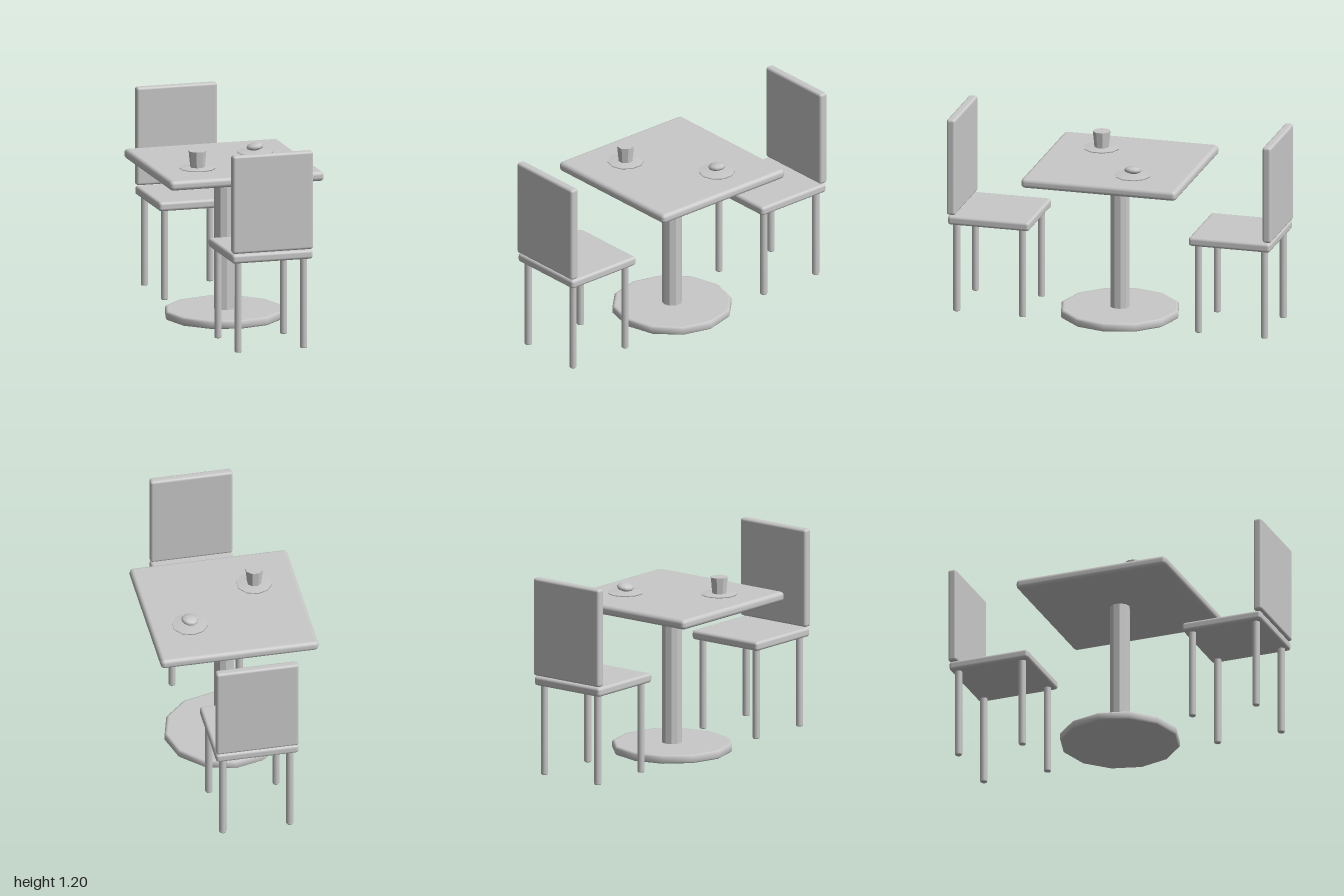
import * as THREE from 'three';
import { RoundedBoxGeometry } from 'three/addons/geometries/RoundedBoxGeometry.js';

const grey = new THREE.MeshStandardMaterial({ color: 0xc8c8c8 });
grey.name = 'plain grey';

function add(parent, name, geometry, x = 0, y = 0, z = 0) {
  const mesh = new THREE.Mesh(geometry, grey);
  mesh.name = name;
  mesh.position.set(x, y, z);
  parent.add(mesh);
  return mesh;
}

// Box with softened edges, placed by its centre
const softBox = (w, h, d, r) => new RoundedBoxGeometry(w, h, d, 2, r);

// Turned shape from [radius, height] pairs, bottom to top
const turned = (profile, sides) =>
  new THREE.LatheGeometry(profile.map(([r, y]) => new THREE.Vector2(r, y)), sides);

// Sharp facets on an otherwise smooth geometry
function faceted(geometry) {
  const g = geometry.toNonIndexed();
  g.computeVertexNormals();
  return g;
}

function createTable() {
  const table = new THREE.Group();
  table.name = 'table';
  add(table, 'tableTop', softBox(0.955, 0.06, 0.955, 0.024), 0, 0.92, 0);
  add(table, 'tableColumn', faceted(new THREE.CylinderGeometry(0.06, 0.06, 0.86, 10)), 0, 0.47, 0);
  add(table, 'tableBase', turned([
    [0, 0], [0.35, 0], [0.36, 0.01], [0.36, 0.04], [0.35, 0.05], [0.34, 0.05], [0, 0.05],
  ], 12));
  return table;
}

// Chair whose back is toward +z
function createChair(name) {
  const chair = new THREE.Group();
  chair.name = name;
  add(chair, 'seat', softBox(0.5, 0.056, 0.502, 0.018), 0, 0.572, 0.742);
  add(chair, 'backrest', softBox(0.5, 0.595, 0.054, 0.016), 0, 0.9025, 0.973);
  const leg = turned([[0, 0], [0.018, 0], [0.022, 0.006], [0.022, 0.28], [0.022, 0.55]], 12);
  for (const x of [-0.203, 0.203])
    for (const z of [0.542, 0.948]) add(chair, 'chairLeg', leg, x, 0, z);
  return chair;
}

// Shallow plate on the table top
function createPlate(name, x, z) {
  const setting = new THREE.Group();
  setting.name = name;
  setting.position.set(x, 0.949, z);
  add(setting, 'plate', turned([[0, 0], [0.107, 0], [0.107, 0.008], [0, 0.012]], 10));
  return setting;
}

export function createModel() {
  const model = new THREE.Group();
  model.name = 'diningSet';
  model.add(createTable());

  // Two chairs facing each other
  const front = createChair('frontChair');
  const back = createChair('backChair');
  back.rotation.y = Math.PI;
  model.add(front, back);

  // Cup on its saucer
  const cupSetting = createPlate('cupSetting', -0.218, 0.175);
  const cup = add(cupSetting, 'cup',
    faceted(new THREE.CylinderGeometry(0.053, 0.043, 0.1, 8)), 0, 0.058, 0);
  cup.rotation.y = Math.PI / 8;

  // Bread roll on its plate
  const rollSetting = createPlate('rollSetting', 0.237, -0.147);
  const roll = add(rollSetting, 'breadRoll', new THREE.SphereGeometry(0.052, 10, 6), 0, 0.036, 0);
  roll.scale.set(1, 0.42, 1);
  roll.rotation.z = 0.15;

  model.add(cupSetting, rollSetting);
  return model;
}
